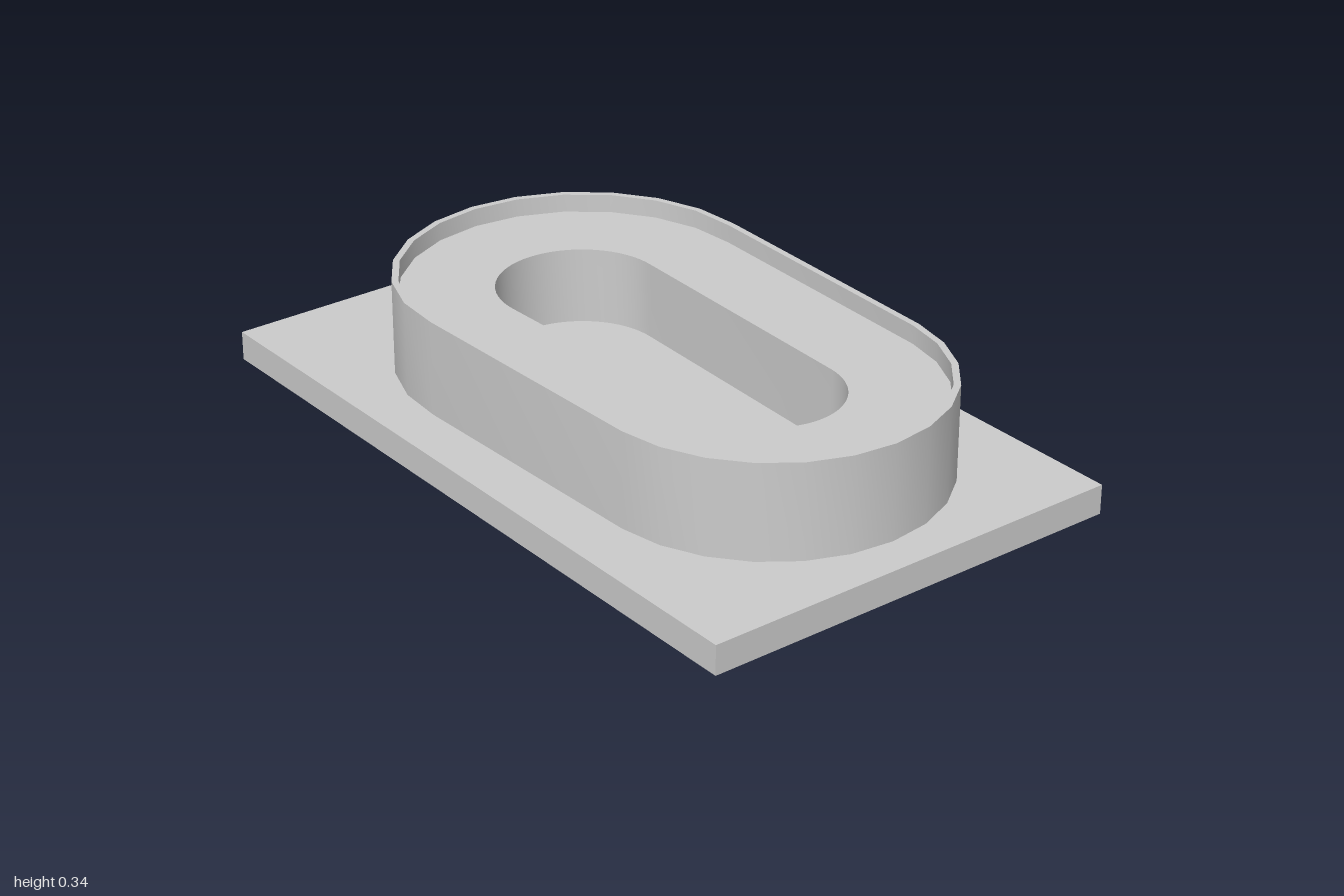
import * as THREE from 'three';
import { toCreasedNormals } from 'three/addons/utils/BufferGeometryUtils.js';

const CX = 0.018, BACK_Z = -0.325, FRONT_Z = 0.43;

// Tapered oval outline: a larger arc at the back, a smaller one at the front
function ovalPoints(backR, frontR, segs) {
  const pts = [];
  const lean = THREE.MathUtils.degToRad(3.5);
  const arc = (cz, r, from, to) => {
    for (let i = 0; i <= segs; i++) {
      const a = from + (to - from) * i / segs;
      pts.push(new THREE.Vector2(CX + r * Math.cos(a), cz + r * Math.sin(a)));
    }
  };
  arc(FRONT_Z, frontR, lean, Math.PI - lean);
  arc(BACK_Z, backR, Math.PI - lean, 2 * Math.PI + lean);
  return pts;
}

// Upright wall or slab between two heights, with an oval opening
function ovalRing(name, outer, inner, bottom, top, material) {
  const shape = new THREE.Shape(outer);
  shape.holes.push(new THREE.Path(inner));
  const geo = new THREE.ExtrudeGeometry(shape, { depth: top - bottom, bevelEnabled: false });
  geo.rotateX(Math.PI / 2);
  geo.translate(0, top, 0);
  const mesh = new THREE.Mesh(toCreasedNormals(geo, Math.PI / 6), material);
  mesh.name = name;
  return mesh;
}

export function createModel() {
  const group = new THREE.Group();
  const material = new THREE.MeshStandardMaterial({ color: 0xcccccc });

  // Rectangular base plate
  const base = new THREE.Mesh(new THREE.BoxGeometry(1.2, 0.08, 2), material);
  base.position.y = 0.04;
  base.name = 'basePlate';
  group.add(base);

  const outer = ovalPoints(0.487, 0.465, 12);
  const lip = ovalPoints(0.469, 0.447, 12);
  const opening = ovalPoints(0.22, 0.195, 32);

  // Thin outer wall rising above the ledge, and the ledge around the opening
  group.add(ovalRing('outerWall', outer, lip, 0.08, 0.34, material));
  group.add(ovalRing('innerLedge', lip, opening, 0.08, 0.29, material));
  return group;
}
